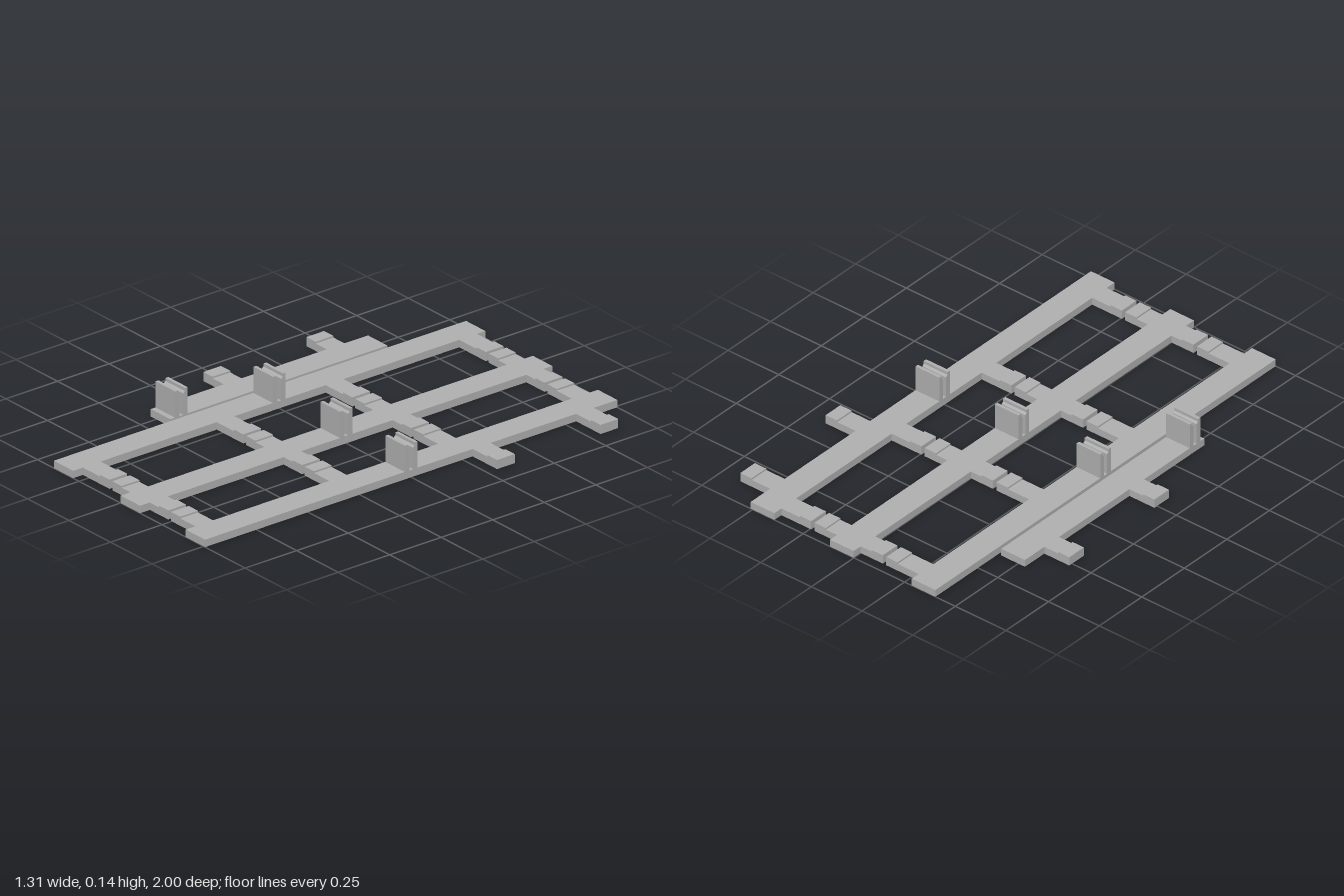
import * as THREE from 'three';

export function createModel() {
  const group = new THREE.Group();
  const grey = new THREE.MeshStandardMaterial({ color: 0xb0b0b0 });
  grey.name = 'plain grey';
  const railHeight = 0.031, lipHeight = 0.038, railWidth = 0.117;

  function box(name, x0, x1, y0, y1, z0, z1) {
    const mesh = new THREE.Mesh(new THREE.BoxGeometry(x1 - x0, y1 - y0, z1 - z0), grey);
    mesh.position.set((x0 + x1) / 2, (y0 + y1) / 2, (z0 + z1) / 2);
    mesh.name = name;
    group.add(mesh);
  }

  // Cross tab from a rail edge to its tip, with a raised lip at the tip
  function tab(root, tip, z) {
    const dir = Math.sign(tip - root), step = tip - dir * 0.056;
    const z0 = z - 0.043, z1 = z + 0.043;
    box('crossTab', Math.min(root, step), Math.max(root, step), 0, railHeight, z0, z1);
    box('tabLip', Math.min(step, tip), Math.max(step, tip), 0, lipHeight, z0, z1);
  }

  // Pair of upright arms, stepped on the inside near the top
  function clip(x, z) {
    for (const side of [-1, 1]) {
      const profile = [[0.031, 0.028], [0.031, 0.14], [0.017, 0.14], [0.017, 0.128], [0.009, 0.12], [0.009, 0.028]];
      const shape = new THREE.Shape(profile.map(([a, y]) => new THREE.Vector2(a * side, y)));
      const geometry = new THREE.ExtrudeGeometry(shape, { depth: railWidth, bevelEnabled: false });
      geometry.rotateY(-Math.PI / 2);
      const arm = new THREE.Mesh(geometry, grey);
      arm.position.set(x + railWidth, 0, z);
      arm.name = 'clipArm';
      group.add(arm);
    }
  }

  // Three long rails and one short side rail
  for (const x of [-0.402, 0.001, 0.392]) {
    box('longRail', x, x + railWidth, 0, railHeight, -1, 1);
    clip(x, 0);
  }
  box('shortRail', -0.533, -0.416, 0, railHeight, -0.63, 0.424);
  clip(-0.533, 0.37);

  // Facing tabs between the long rails
  for (const z of [-0.916, -0.268, 0.261, 0.91]) {
    tab(-0.285, -0.125, z);
    tab(0.001, -0.108, z);
    tab(0.118, 0.229, z);
    tab(0.392, 0.245, z);
  }

  // Outward tabs on both sides
  for (const z of [-0.843, -0.341]) tab(0.509, 0.656, z);
  for (const z of [-0.473, 0.027]) tab(-0.533, -0.656, z);

  return group;
}
